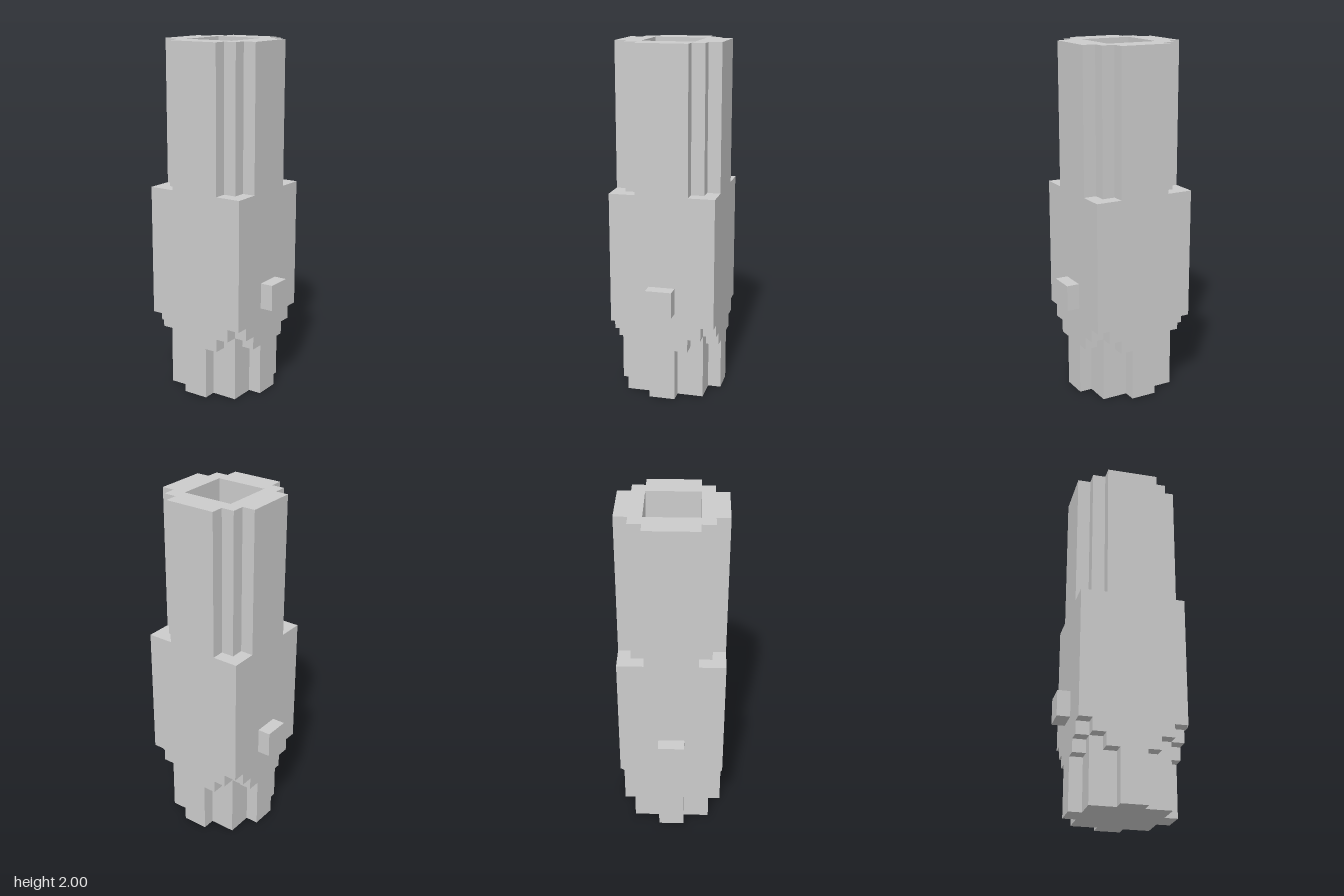
import * as THREE from 'three';

const U = 2 / 27; // one block

// Square-ish outline, mirrored four ways from the stepped corner points (x, z in blocks)
function outline(corner) {
  const pts = [];
  for (let q = 0; q < 4; q++) {
    const c = Math.round(Math.cos(q * Math.PI / 2));
    const s = Math.round(Math.sin(q * Math.PI / 2));
    for (const [x, y] of corner) {
      pts.push(new THREE.Vector2((x * c - y * s) * U, (x * s + y * c) * U));
    }
  }
  return pts;
}

export function createModel() {
  const group = new THREE.Group();
  const material = new THREE.MeshStandardMaterial({ color: 0xcccccc, flatShading: true });

  const add = (name, geometry) => {
    const mesh = new THREE.Mesh(geometry, material);
    mesh.name = name;
    group.add(mesh);
    return mesh;
  };

  // Upright prism from block height y0 to y1
  function layer(name, corner, y0, y1, holeHalf = 0) {
    const shape = new THREE.Shape(outline(corner));
    if (holeHalf) shape.holes.push(new THREE.Path(outline([[holeHalf, holeHalf]])));
    const geometry = new THREE.ExtrudeGeometry(shape, { depth: (y1 - y0) * U, bevelEnabled: false });
    geometry.rotateX(-Math.PI / 2);
    geometry.translate(0, y0 * U, 0);
    add(name, geometry);
  }

  const steppedCorner = [[4, 2], [3, 2], [3, 3], [2, 3], [2, 4]];

  // Base narrowing in steps towards the foot
  layer('foot', [[4, 1], [3, 1], [3, 3], [1, 3], [1, 4]], 0, 4);
  layer('lowerStep', steppedCorner, 4, 5);
  layer('upperStep', [[4, 3], [3, 3], [3, 4]], 5, 6);

  // Full square body, whose top closes the socket
  layer('body', [[4, 4]], 6, 16);

  // Hollow upper shaft with notched corners
  layer('hollowShaft', steppedCorner, 16, 27, 2);

  // Side pegs
  for (const [name, side] of [['leftPeg', 1], ['rightPeg', -1]]) {
    add(name, new THREE.BoxGeometry(U, 2 * U, 2 * U)).position.set(side * 4.5 * U, 8 * U, 0);
  }

  return group;
}
